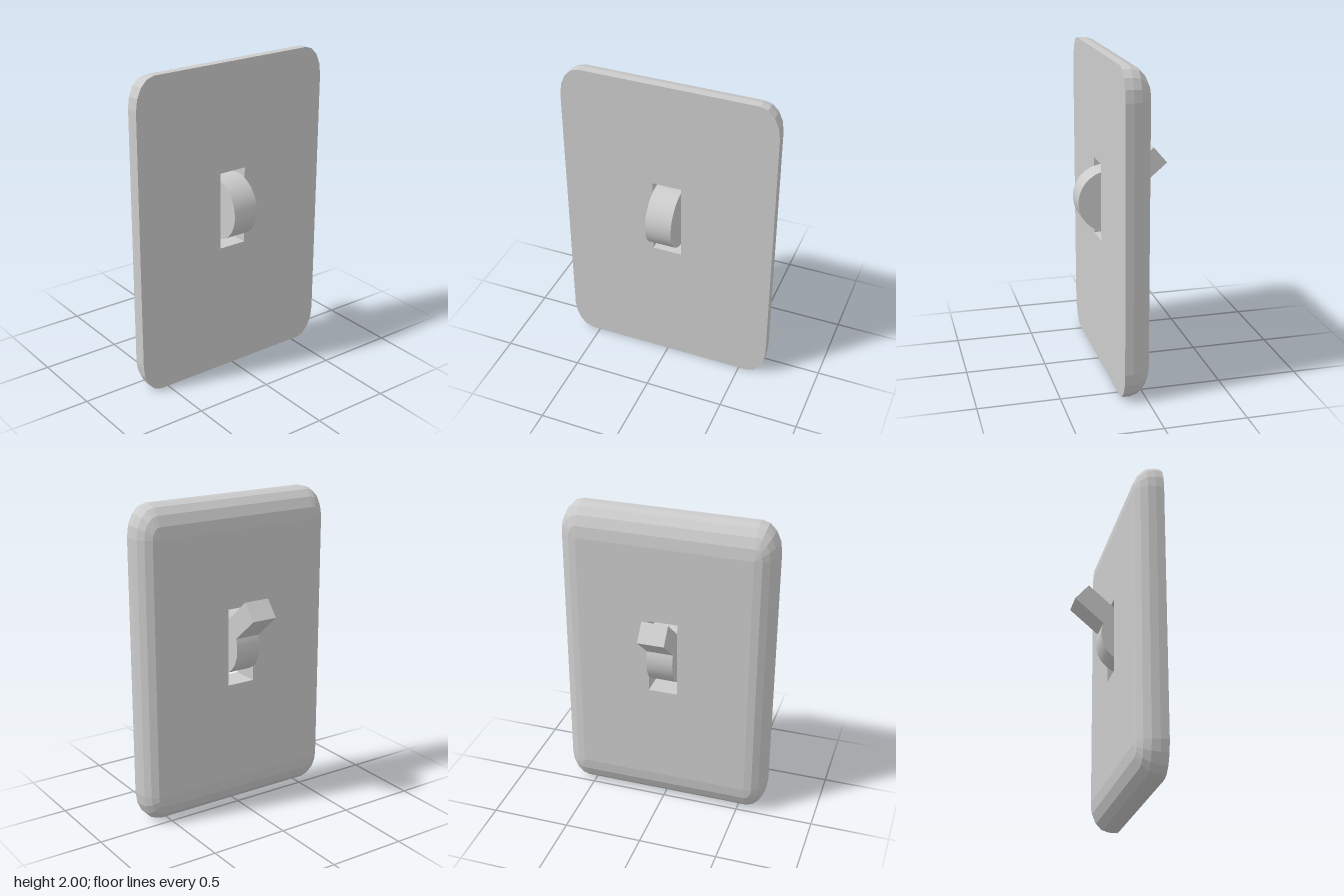
import * as THREE from 'three';
import { toCreasedNormals } from 'three/addons/utils/BufferGeometryUtils.js';

const grey = new THREE.MeshStandardMaterial({ color: 0xcccccc });

// Plate: half width, half height, elliptical corner radii, depth range
const W = 0.675, H = 1, RX = 0.125, RY = 0.19, Z_FRONT = 0.145, Z_BACK = -0.03;
const ROUND_DEPTH = 0.125, STEPS = 5;

function plateGeometry() {
  const cx = W - RX, cy = H - RY;
  const shape = new THREE.Shape();
  const q = Math.PI / 2;
  [[1, 1], [-1, 1], [-1, -1], [1, -1]].forEach(([sx, sy], i) =>
    shape.absellipse(sx * cx, sy * cy, RX, RY, i * q, (i + 1) * q, false));

  // Slot for the switch
  const hole = new THREE.Path();
  hole.moveTo(-0.095, -0.17).lineTo(-0.095, 0.322).lineTo(0.09, 0.322).lineTo(0.09, -0.17).closePath();
  shape.holes.push(hole);

  const geo = new THREE.ExtrudeGeometry(shape, { depth: 1, steps: STEPS, bevelEnabled: false, curveSegments: 2 });

  // Round the back: each layer draws its rim in towards the corner centres
  const p = geo.attributes.position;
  for (let i = 0; i < p.count; i++) {
    const layer = Math.round(p.getZ(i) * STEPS);
    const phi = Math.max(0, (STEPS - 1 - layer) / (STEPS - 1)) * q;
    const x = p.getX(i), y = p.getY(i);
    const bx = THREE.MathUtils.clamp(x, -cx, cx), by = THREE.MathUtils.clamp(y, -cy, cy);
    const z = layer === STEPS ? Z_FRONT : Z_BACK + ROUND_DEPTH * (1 - Math.sin(phi));
    p.setXYZ(i, bx + (x - bx) * Math.cos(phi), by + (y - by) * Math.cos(phi), z);
  }
  geo.computeVertexNormals();
  return geo;
}

// Round drum with a square lever growing out of it, drawn in side profile
function toggleGeometry() {
  const r = 0.196, half = 0.066, reach = 0.4215, a = 0.703;
  const d = Math.asin(half / r);
  const tip = s => [
    reach * Math.cos(a) - s * half * Math.sin(a),
    reach * Math.sin(a) + s * half * Math.cos(a),
  ];
  const shape = new THREE.Shape();
  shape.absarc(0, 0, r, a + d, a - d + Math.PI * 2, false);
  shape.lineTo(...tip(-1));
  shape.lineTo(...tip(1));
  shape.closePath();
  const geo = new THREE.ExtrudeGeometry(shape, { depth: 0.167, bevelEnabled: false, curveSegments: 28 });
  geo.rotateY(Math.PI / 2);
  return toCreasedNormals(geo, 0.5);
}

export function createModel() {
  const group = new THREE.Group();
  group.name = 'lightSwitch';

  const plate = new THREE.Mesh(plateGeometry(), grey);
  plate.name = 'wallPlate';
  plate.position.y = 1;

  const toggle = new THREE.Mesh(toggleGeometry(), grey);
  toggle.name = 'toggleLever';
  toggle.position.set(-0.089, 1.08, 0.087);

  group.add(plate, toggle);
  return group;
}
